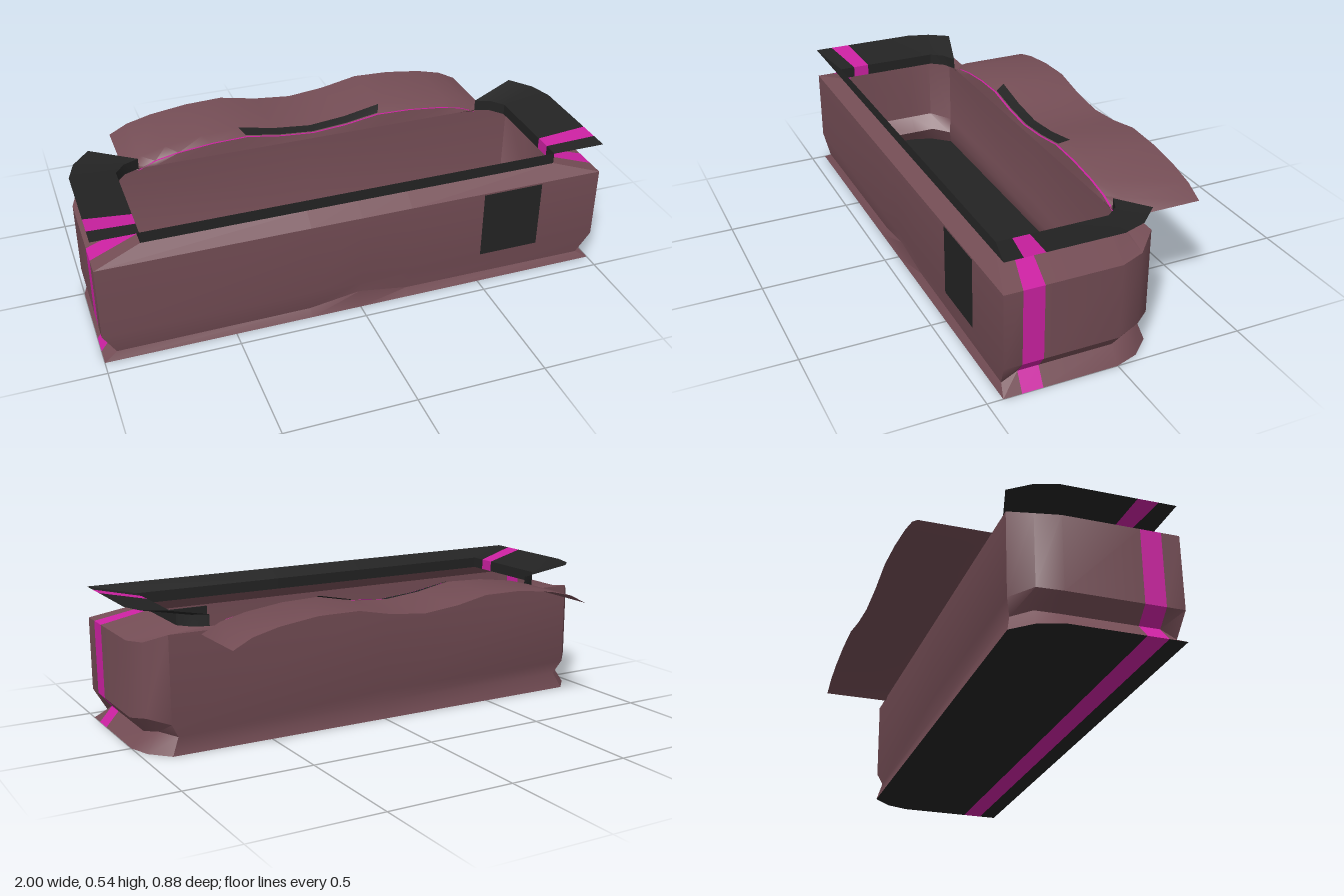
import * as THREE from 'three';
import { toCreasedNormals } from 'three/addons/utils/BufferGeometryUtils.js';

const flat = (name, color) => {
  const m = new THREE.MeshStandardMaterial({ color, side: THREE.DoubleSide });
  m.name = name;
  return m;
};

// Half outlines run from front centre round the +x side to back centre, as [x, y, z].
const plan = [[0, .44], [.2, .44], [1, .44], [1, .37], [1, .29], [1, 0], [.97, -.09], [.9, -.165], [0, -.165]];
const neckPlan = [[0, .385], [.2, .385], [.82, .385], [.82, .325], [.82, .26], [.82, -.04], [.78, -.09], [.72, -.115], [0, -.115]];
const level = (pts, ys) => pts.map(([x, z], i) => [x, Array.isArray(ys) ? ys[i] : ys, z]);

const base = level(plan, 0);
const crimp = [[0, .065, .425], [.2, .03, .42], [.95, .03, .425], [.95, .06, .365], [.95, .06, .285],
  [.95, .06, 0], [.92, .075, -.08], [.87, .065, -.147], [0, .065, -.147]];
const wallBottom = level(plan, [.12, .12, .12, .12, .12, .12, .135, .12, .12]);
const wallTop = level(plan, [.412, .412, .412, .412, .412, .412, .42, .455, .455]);
const shoulder = level(neckPlan, .456);
const neckTop = level(neckPlan, .5);
const rim = level(plan, [.536, .536, .536, .536, .536, .536, .537, .543, .543]);

const STRIPE = 3; // half-outline segment that carries the stripe
const mirrored = half => [...half.slice(1).reverse().map(([x, y, z]) => [-x, y, z]), ...half];

// Skin between rows of points; keep(i) chooses the columns to fill.
function skin(rows, keep, crease = 0.6) {
  const pos = [];
  for (let r = 0; r + 1 < rows.length; r++) {
    for (let i = 0; i + 1 < rows[r].length; i++) {
      if (!keep(i)) continue;
      const a = rows[r][i], b = rows[r][i + 1], c = rows[r + 1][i + 1], d = rows[r + 1][i];
      pos.push(...a, ...b, ...c, ...a, ...c, ...d);
    }
  }
  const g = new THREE.BufferGeometry();
  g.setAttribute('position', new THREE.Float32BufferAttribute(pos, 3));
  g.computeVertexNormals();
  return toCreasedNormals(g, crease);
}

export function createModel() {
  const group = new THREE.Group();
  const brown = flat('mauve fabric', 0x744d55);
  const black = flat('black fabric', 0x232323);
  const magenta = flat('magenta strap', 0xcb21a1);
  const add = (name, geometry, material) => {
    const mesh = new THREE.Mesh(geometry, material);
    mesh.name = name;
    group.add(mesh);
    return mesh;
  };

  // Walls and collar, each split into cloth and side stripes
  const lofted = (name, halves, material) => {
    const rows = halves.map(mirrored);
    const last = halves[0].length - 1;
    const isStripe = i => (i >= last ? i - last : last - 1 - i) === STRIPE;
    add(name, skin(rows, i => !isStripe(i)), material);
    add(name + 'Stripes', skin(rows, isStripe), magenta);
  };
  lofted('body', [base, crimp, wallBottom, wallTop, shoulder], brown);
  lofted('collar', [shoulder, neckTop, rim].map(h => h.slice(0, 8)), black);

  // Floor in three strips
  const floor = (name, pts, material) => {
    const shape = new THREE.Shape(pts.map(p => new THREE.Vector2(...p)));
    add(name, new THREE.ShapeGeometry(shape).rotateX(Math.PI / 2), material);
  };
  const strip = (z0, z1) => [[-1, z0], [1, z0], [1, z1], [-1, z1]];
  const rear = plan.slice(4, 8);
  floor('floorFront', strip(.37, .44), black);
  floor('floorStripe', strip(.29, .37), magenta);
  floor('floorRear', [...rear, ...rear.map(([x, z]) => [-x, z]).reverse()], black);

  // Wavy lid folded out behind the opening
  const wave = [[0, .485], [.15, .5], [.3, .53], [.45, .525], [.6, .505], [.7, .48], [.775, .442]];
  const lidRow = (z, scale, lift) =>
    mirrored(wave.map(([x, y]) => [x * scale, .456 + (y - .456) * lift, z]));
  const lidRows = [lidRow(-.115, .93, 0), lidRow(-.12, .93, .75), lidRow(-.165, 1, 1), lidRow(-.443, 1, 1)];
  add('lid', skin(lidRows, () => true, 0.9), brown);

  // Thin piping along the lid's hinge
  const pipingRow = dz => lidRows[1].map(([x, y, z]) => [x, y + .002, z + dz]);
  add('lidPiping', skin([pipingRow(.006), pipingRow(-.002)], () => true), magenta);

  // Label strip lying on the lid, following its wave
  const label = (row, t) => lidRows[1].map((p, i) => p.map((v, k) => v + (row[i][k] - v) * t))
    .map(([x, y, z]) => [x, y + .004, z]);
  add('lidLabel', skin([label(lidRows[2], .1), label(lidRows[2], 1)], i => i >= 4 && i <= 7), black);

  // Pocket patch on the front wall, showing through to the inside
  add('frontPatch', new THREE.BoxGeometry(.245, .275, .008).translate(.625, .268, .4375), black);

  return group;
}
